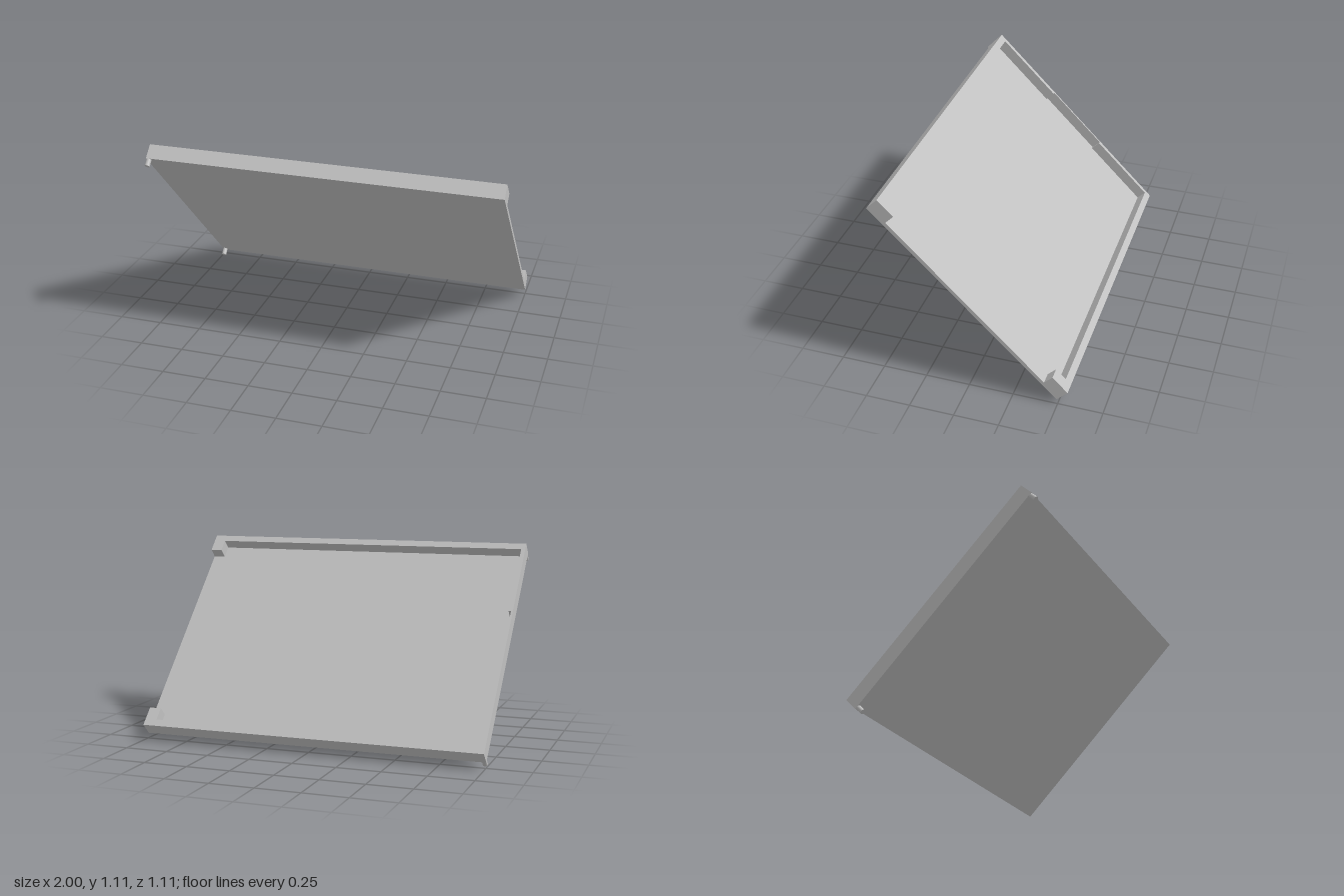
import * as THREE from 'three';

// Local frame before tilting: x across, y along the slope, -z out of the open face.
const BOTTOM = -0.327, TOP = 1.117;          // slope extent
const OPEN = -0.456, FLOOR = -0.391, UNDER = -0.37, PEG_END = -0.329;
const RIM = 0.043, POST = 0.12, PEG_R = 0.014;

export function createModel() {
  const grey = new THREE.MeshStandardMaterial({ color: 0xc0c0c0 });
  grey.name = 'light grey';

  const group = new THREE.Group();
  group.name = 'tiltedTray';
  const tray = new THREE.Group();
  tray.name = 'tray';
  tray.rotation.x = Math.PI / 4;
  group.add(tray);

  const add = (name, geometry, x, y, z) => {
    const mesh = new THREE.Mesh(geometry, grey);
    mesh.name = name;
    mesh.position.set(x, y, z);
    tray.add(mesh);
  };

  // Flat floor panel
  add('floorPanel', new THREE.BoxGeometry(2, TOP - BOTTOM, UNDER - FLOOR),
    0, (TOP + BOTTOM) / 2, (UNDER + FLOOR) / 2);

  // C-shaped rim: open on one side, corner posts, thinned middle on the other side
  const outline = [
    [-1, BOTTOM], [1, BOTTOM], [1, BOTTOM + POST], [0.93, BOTTOM + POST],
    [0.93, BOTTOM + RIM], [-0.976, BOTTOM + RIM],
    [-0.976, 0.172], [-0.99, 0.172], [-0.99, 0.615], [-0.976, 0.615],
    [-0.976, TOP - RIM], [0.93, TOP - RIM],
    [0.93, TOP - POST], [1, TOP - POST], [1, TOP], [-1, TOP],
  ].map(([x, y]) => new THREE.Vector2(x, y));
  add('rim', new THREE.ExtrudeGeometry(new THREE.Shape(outline),
    { depth: FLOOR - OPEN, bevelEnabled: false }), 0, 0, OPEN);

  // Hinge pegs under the two corners of the walled side
  const pegLength = PEG_END - UNDER;
  for (const [name, y] of [['lowerPeg', BOTTOM + PEG_R], ['upperPeg', TOP - PEG_R]]) {
    const peg = new THREE.CylinderGeometry(PEG_R, PEG_R, pegLength, 32).rotateX(Math.PI / 2);
    add(name, peg, -1 + PEG_R, y, UNDER + pegLength / 2);
  }
  return group;
}
